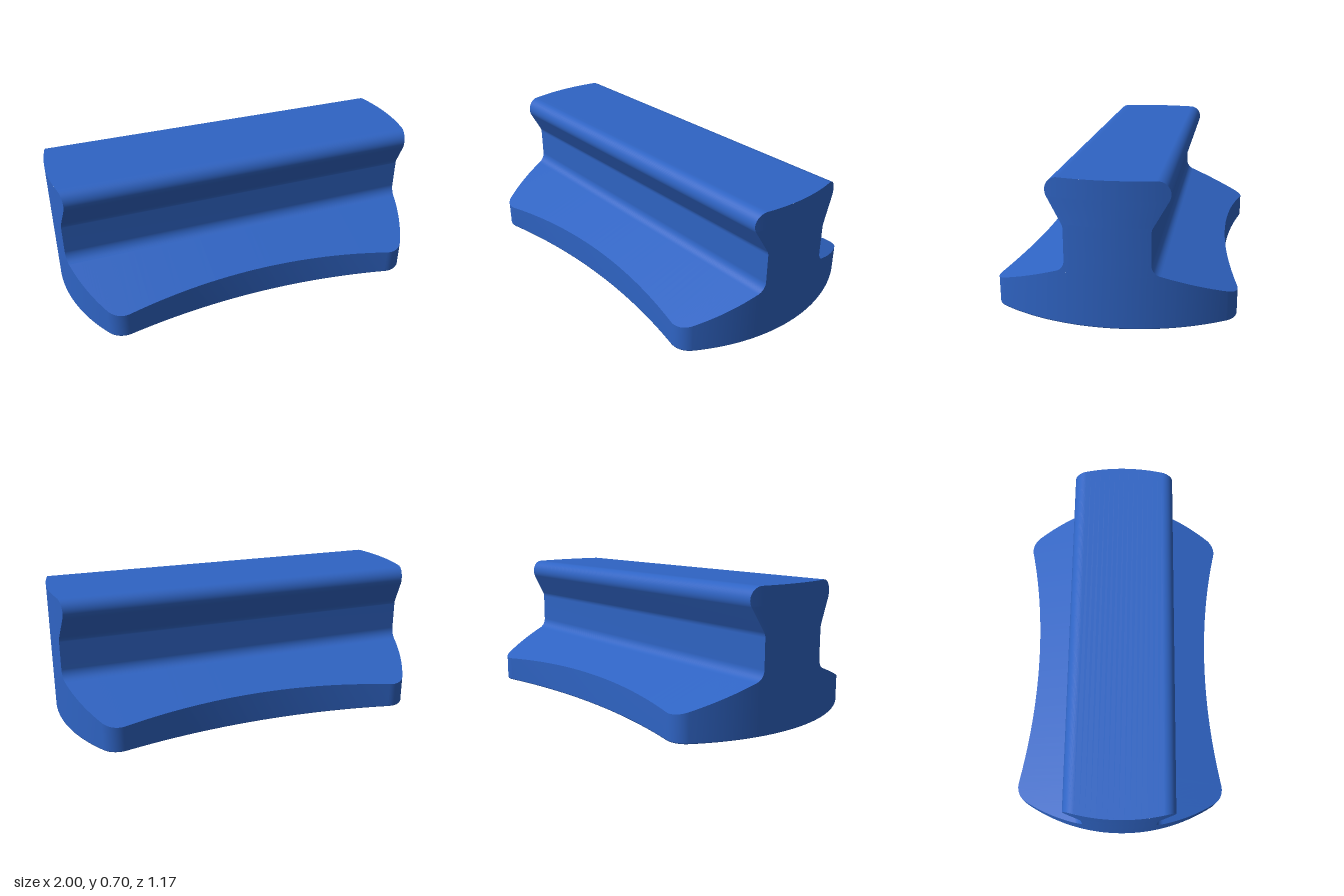
import * as THREE from 'three';
import { mergeVertices } from 'three/addons/utils/BufferGeometryUtils.js';

// Points along an arc, as [a, b] pairs
function arc(ca, cb, r, from, to, n) {
  return Array.from({ length: n + 1 }, (_, i) => {
    const t = from + (to - from) * i / n;
    return [ca + r * Math.cos(t), cb + r * Math.sin(t)];
  });
}

// Drops neighbouring points that coincide
const tidy = pts => pts.filter((p, i) => i === 0 ||
  Math.hypot(p[0] - pts[i - 1][0], p[1] - pts[i - 1][1]) > 1e-5);

// Smooth surface through rows of points; it faces (row step) x (column step)
function surface(rows) {
  const n = rows[0].length, index = [];
  for (let i = 0; i < rows.length - 1; i++) {
    for (let j = 0; j < n - 1; j++) {
      const a = i * n + j, b = a + n;
      index.push(a, b, b + 1, a, b + 1, a + 1);
    }
  }
  const geo = new THREE.BufferGeometry();
  geo.setAttribute('position', new THREE.Float32BufferAttribute(rows.flat(2), 3));
  geo.setIndex(index);
  const merged = mergeVertices(geo, 1e-5);
  merged.computeVertexNormals();
  return merged;
}

export function createModel() {
  const group = new THREE.Group();
  const blue = new THREE.MeshStandardMaterial({ color: 0x2f64c4 });
  const add = (name, geo, turn = 0) => {
    const mesh = new THREE.Mesh(geo, blue);
    mesh.name = name;
    mesh.rotation.y = turn;
    group.add(mesh);
  };
  const rad = THREE.MathUtils.degToRad;

  // Half of the rail profile [z, y]: root fillet, neck fillet, rounded head
  const half = tidy([
    ...arc(0.26, 0.316, 0.06, rad(250), rad(180), 12),
    ...arc(0.25, 0.4656, 0.05, rad(180), rad(150), 6),
    ...arc(0.22, 0.64, 0.063, rad(-30), rad(90), 20),
  ]);
  const [rootZ, rootY] = half[0];
  const slope = z => rootY - 0.364 * (Math.max(Math.abs(z), rootZ) - rootZ);
  const endX = z => Math.sqrt(1 - z * z);

  // Plan outline [x, z]: curved ends, rounded corners, hollow long sides
  const a = Math.asin(0.537), rootA = Math.asin(rootZ);
  const cx = 0.9 * Math.cos(a), cz = 0.9 * Math.sin(a);
  const quarter = tidy([
    ...arc(0, 0, 1, 0, rootA, 10),
    ...arc(0, 0, 1, rootA, a, 12),
    ...arc(cx, cz, 0.1, a, Math.atan2(3.9 - cz, -cx), 16),
    ...arc(0, 3.9, 3.4, Math.atan2(cz - 3.9, cx), -Math.PI / 2, 20),
  ]);
  const front = tidy([...quarter, ...quarter.map(([x, z]) => [-x, z]).reverse()]);
  const loop = tidy([...front, ...front.map(([x, z]) => [-x, -z])]);
  loop.pop();

  // Outline shrunk by d
  const inset = d => loop.map(([x, z], i) => {
    const p = loop[(i + loop.length - 1) % loop.length], q = loop[(i + 1) % loop.length];
    const dx = q[0] - p[0], dz = q[1] - p[1], l = Math.hypot(dx, dz);
    return [x - d * dz / l, z + d * dx / l];
  });
  const wallRow = (d, height) => {
    const row = inset(d).map(([x, z]) => [x, height(z), z]);
    return [...row, row[0]];
  };

  // Base: underside and wall with a softened lower edge
  const under = new THREE.ShapeGeometry(new THREE.Shape(
    inset(0.008).map(([x, z]) => new THREE.Vector2(x, z))));
  under.rotateX(Math.PI / 2);
  add('baseUnderside', under);
  add('baseWall', surface([
    wallRow(0.008, () => 0),
    wallRow(0.0023, () => 0.0023),
    wallRow(0, () => 0.008),
    wallRow(0, slope),
  ]));

  // Rail: both flanks and the flat top, cut by the curved ends
  const flat = Array.from({ length: 15 }, (_, i) => [0.22 - 0.44 * (i + 1) / 16, 0.703]);
  const profile = [...half, ...flat, ...half.map(([z, y]) => [-z, y]).reverse()];
  add('rail', surface(profile.map(([z, y]) => [[endX(z), y, z], [-endX(z), y, z]])));

  // Curved rail ends
  const endFace = surface(half.map(([p, y]) => Array.from({ length: 25 }, (_, j) => {
    const z = p * (j / 12 - 1);
    return [endX(z), y, z];
  })));
  add('leftRailEnd', endFace);
  add('rightRailEnd', endFace, Math.PI);

  // Sloping flanges on both sides
  const edge = front.filter(p => p[1] >= rootZ - 1e-6);
  const flange = surface(edge.map(([x, z]) => [[x, rootY, rootZ], [x, slope(z), z]]));
  add('frontFlange', flange);
  add('backFlange', flange, Math.PI);

  return group;
}
